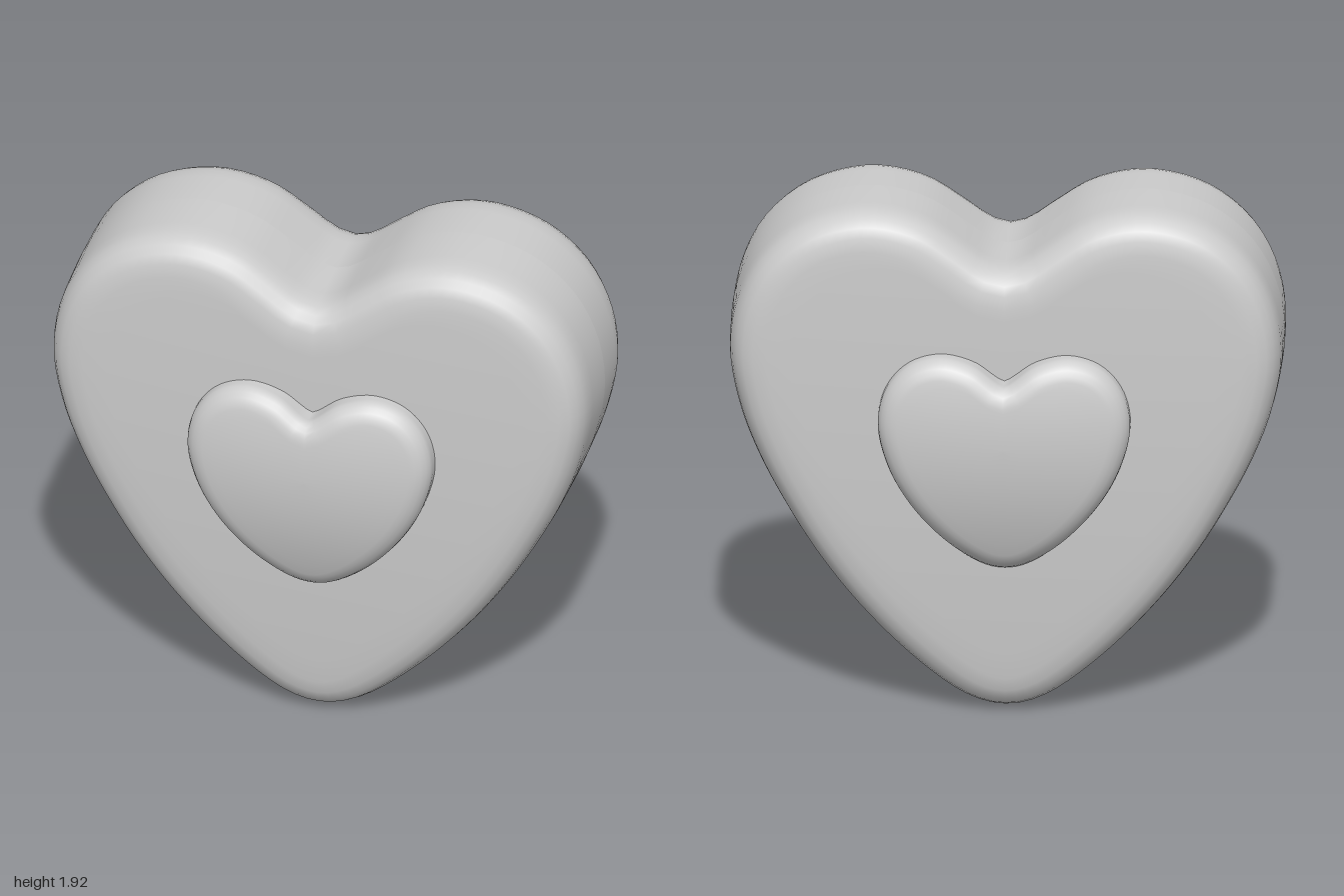
import * as THREE from 'three';

const SEGMENTS = 120;

// Closed smooth heart outline from the points of its right half (tip to cleft).
function heartOutline(half) {
  const left = half.slice(1, -1).reverse().map(([x, y]) => [-x, y]);
  const points = [...half, ...left].map(([x, y]) => new THREE.Vector3(x, y, 0));
  const curve = new THREE.CatmullRomCurve3(points, true, 'centripetal');
  return Array.from({ length: SEGMENTS }, (_, i) => curve.getPointAt(i / SEGMENTS));
}

// One half of a pillow: rings follow the rim [inset, drop below dome], then shrink to the centre.
function pillowHalf(outline, { rim, dome, floor, centreY }) {
  const positions = [], index = [];
  const n = outline.length;
  const insetPoint = (i, d) => {
    const a = outline[(i + n - 1) % n], b = outline[(i + 1) % n], p = outline[i];
    const tx = b.x - a.x, ty = b.y - a.y, len = Math.hypot(tx, ty);
    return [p.x - (ty / len) * d, p.y + (tx / len) * d];
  };
  const rings = rim.map(([d, drop]) => ({ d, drop, s: 1 }));
  const last = rim[rim.length - 1][0];
  for (let k = 9; k >= 0; k--) rings.push({ d: last, drop: 0, s: k / 10 });
  for (const { d, drop, s } of rings) {
    for (let i = 0; i < n; i++) {
      const [px, py] = insetPoint(i, d);
      const x = px * s, y = centreY + (py - centreY) * s;
      positions.push(x, y, Math.max(floor, dome(x, y) - drop));
    }
  }
  for (let j = 0; j < rings.length - 1; j++) {
    for (let i = 0; i < n; i++) {
      const a = j * n + i, b = j * n + (i + 1) % n;
      index.push(a, b, b + n, a, b + n, a + n);
    }
  }
  const geometry = new THREE.BufferGeometry();
  geometry.setAttribute('position', new THREE.Float32BufferAttribute(positions, 3));
  geometry.setIndex(index);
  geometry.computeVertexNormals();
  return geometry;
}

export function createModel() {
  const group = new THREE.Group();
  const material = new THREE.MeshStandardMaterial({ color: 0xcccccc });

  // Thick heart body with softly rounded edges
  const body = pillowHalf(heartOutline([
    [0, 0.005], [0.08, 0.017], [0.175, 0.06], [0.35, 0.2], [0.54, 0.4], [0.69, 0.6],
    [0.81, 0.8], [0.9, 0.98], [0.965, 1.16], [1, 1.37], [0.97, 1.57], [0.88, 1.74],
    [0.72, 1.87], [0.5, 1.925], [0.3, 1.885], [0.15, 1.79], [0.06, 1.727], [0, 1.71],
  ]), {
    rim: [[0, 1], [0.003, 0.16], [0.006, 0.11], [0.014, 0.075], [0.03, 0.042], [0.055, 0.019], [0.09, 0.006], [0.14, 0]],
    dome: (x, y) => 0.35 - 0.025 * x * x - 0.04 * (y - 1.35) ** 2,
    floor: 0,
    centreY: 1.15,
  });

  // Small raised heart, sloping down towards its tip
  const emblem = pillowHalf(heartOutline([
    [0, 0.58], [0.05, 0.587], [0.11, 0.615], [0.22, 0.7], [0.34, 0.84], [0.42, 0.99],
    [0.455, 1.15], [0.425, 1.28], [0.345, 1.37], [0.23, 1.405], [0.11, 1.377], [0.035, 1.325], [0, 1.305],
  ]), {
    rim: [[0, 1], [0, 0.055], [0.004, 0.038], [0.014, 0.021], [0.03, 0.009], [0.05, 0.002], [0.07, 0]],
    dome: (x, y) => 0.48 - 0.2 * x * x - 0.43 * (y - 1.1) ** 2,
    floor: 0.3,
    centreY: 1.08,
  });

  // Same halves on the front and the back
  for (const [side, turn] of [['front', 0], ['back', Math.PI]]) {
    for (const [part, geometry] of [['HeartBody', body], ['RaisedHeart', emblem]]) {
      const mesh = new THREE.Mesh(geometry, material);
      mesh.name = side + part;
      mesh.rotation.y = turn;
      group.add(mesh);
    }
  }
  return group;
}
